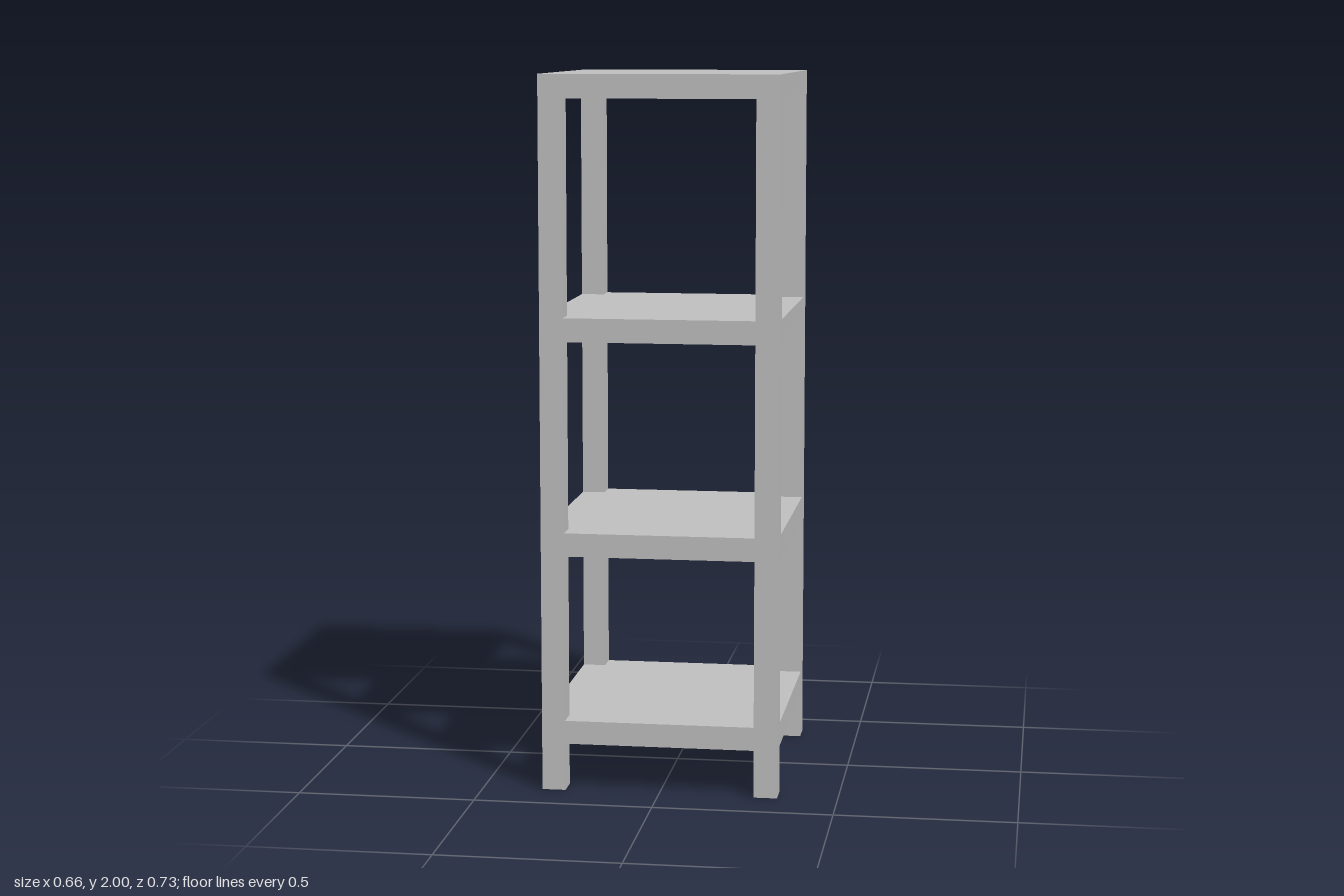
import * as THREE from 'three';

const W = 0.664, D = 0.732, T = 0.066; // overall width, depth, timber thickness
const SHELF_TOPS = [0.2, 0.735, 1.335, 2];

export function createModel() {
  const group = new THREE.Group();
  group.name = 'shelfUnit';
  const grey = new THREE.MeshStandardMaterial({ color: 0xc2c2c2 });
  grey.name = 'light grey';

  const addBox = (name, w, d, bottom, top, x = 0, z = 0) => {
    const mesh = new THREE.Mesh(new THREE.BoxGeometry(w, top - bottom, d), grey);
    mesh.name = name;
    mesh.position.set(x, (bottom + top) / 2, z);
    group.add(mesh);
  };

  let bottom = 0;
  for (const top of SHELF_TOPS) {
    // Four corner posts up to the underside of this shelf
    for (const sx of [-1, 1]) {
      for (const sz of [-1, 1]) {
        const name = (sz > 0 ? 'front' : 'back') + (sx > 0 ? 'Left' : 'Right') + (bottom ? 'Post' : 'Foot');
        addBox(name, T, T, bottom, top - T, sx * (W - T) / 2, sz * (D - T) / 2);
      }
    }
    // Solid shelf board, flush with the posts
    addBox(top === 2 ? 'topBoard' : 'shelf', W, D, top - T, top);
    bottom = top;
  }
  return group;
}
